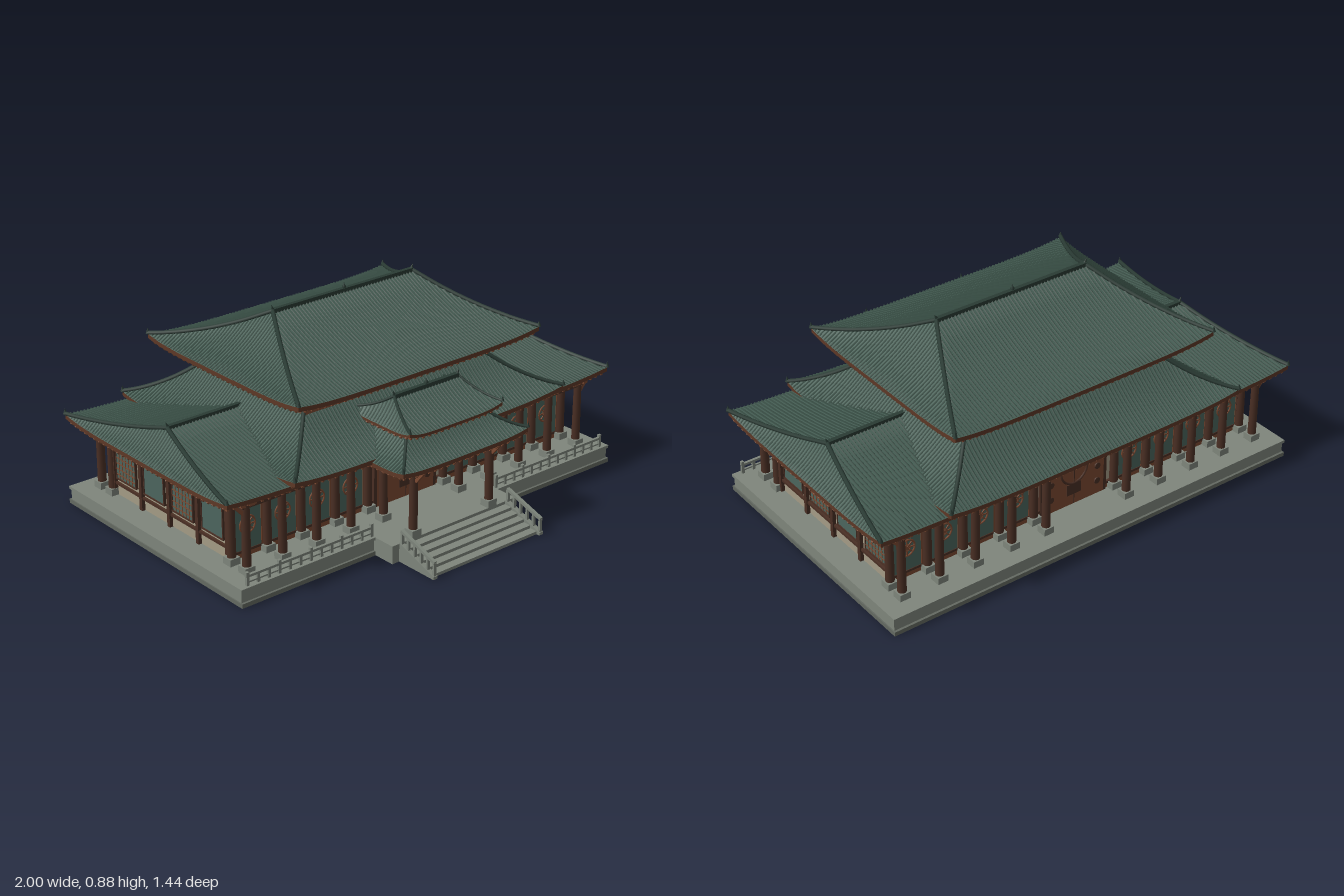
import * as THREE from 'three';
import { mergeGeometries } from 'three/addons/utils/BufferGeometryUtils.js';

const mat = (name, color, side = THREE.FrontSide) => {
  const m = new THREE.MeshStandardMaterial({ color, side });
  m.name = name;
  return m;
};

// Geometry helpers
const box = (w, h, d, x, y, z) => new THREE.BoxGeometry(w, h, d).translate(x, y, z);
const cyl = (r0, r1, h, x, y, z, n = 12) => new THREE.CylinderGeometry(r0, r1, h, n).translate(x, y, z);
const V = (x, y, z) => new THREE.Vector3(x, y, z);

function beam(p, q, w, h) {
  const o = new THREE.Object3D();
  o.position.copy(p).add(q).multiplyScalar(0.5);
  o.lookAt(q);
  o.updateMatrix();
  return new THREE.BoxGeometry(w, h, p.distanceTo(q)).applyMatrix4(o.matrix);
}

// Grid surface from f(i in 0..1, j in 0..1)
function surf(nI, nJ, f) {
  const pos = [], idx = [], n = nI + 1;
  for (let j = 0; j <= nJ; j++) for (let i = 0; i <= nI; i++) pos.push(...f(i / nI, j / nJ).toArray());
  for (let j = 0; j < nJ; j++) for (let i = 0; i < nI; i++) {
    const a = j * n + i;
    idx.push(a, a + 1, a + n + 1, a, a + n + 1, a + n);
  }
  const g = new THREE.BufferGeometry();
  g.setAttribute('position', new THREE.Float32BufferAttribute(pos, 3));
  g.setIndex(idx);
  g.computeVertexNormals();
  return g;
}

export function createModel() {
  const M = {
    stone: mat('stone', 0x7f867c), stoneDark: mat('dark stone', 0x646a62),
    tile: mat('roof tile', 0x465f55, THREE.DoubleSide), rib: mat('roof rib', 0x33483f, THREE.DoubleSide),
    ridge: mat('ridge tile', 0x2a3b34), wood: mat('dark wood', 0x4a2f24),
    red: mat('warm wood', 0x7c4a32), eave: mat('eave wood', 0x5e3826, THREE.DoubleSide),
    cream: mat('plaster', 0xa59c86), teal: mat('teal panel', 0x4c665e),
  };
  const model = new THREE.Group();
  model.name = 'hall';
  const add = (name, material, geos) => {
    const flat = geos.map(g => {
      const n = g.index ? g.toNonIndexed() : g;
      n.deleteAttribute('uv');
      return n;
    });
    const mesh = new THREE.Mesh(mergeGeometries(flat), material);
    mesh.name = name;
    model.add(mesh);
  };

  // Concave hipped roof with lifted corners, ribs, fascia, soffit and rafters
  function roof(name, { cz, ex, ez, tx, tz, y0, y1, lift, edge = 0.018, bar = 0.009 }) {
    const tiles = [], ribs = [], under = [], rafters = [], ridges = [];
    for (let k = 0; k < 4; k++) {
      const [a0, a1, b0, b1] = k % 2 ? [ez, tz, ex, tx] : [ex, tx, ez, tz];
      const half = s => a0 + (a1 - a0) * s;
      const c = Math.round(Math.cos(k * Math.PI / 2)), sn = Math.round(Math.sin(k * Math.PI / 2));
      const at = (u, s, off) => {
        const t = Math.min(1, Math.abs(u) / Math.max(half(s), 1e-4)), w = b0 + (b1 - b0) * s;
        const y = y0 + (y1 - y0) * (0.6 * s + 0.4 * s * s) + lift * t ** 5 * (1 - s) ** 2 + off;
        return V(u * c + w * sn, y, cz - u * sn + w * c);
      };
      tiles.push(surf(24, 8, (i, j) => at((2 * i - 1) * half(j), j, 0)));
      under.push(surf(24, 8, (i, j) => at((2 * i - 1) * half(j), j, -edge)));
      under.push(surf(24, 1, (i, j) => at((2 * i - 1) * a0, 0, -edge * (1 - j))));
      const reach = u => Math.min(1, (a0 - Math.abs(u)) / (a0 - a1));
      const n = Math.round(2 * a0 / 0.016);
      for (let i = 0; i < n; i++) {
        const u = -a0 + (i + 0.5) * 2 * a0 / n, top = reach(u);
        if (top < 0.04) continue;
        ribs.push(surf(2, 5, (p, q) => {
          const v = at(u, q * top, p === 0.5 ? 0.006 : 0.0005), d = (p - 0.5) * 0.008;
          return v.add(V(d * c, 0, -d * sn));
        }));
        if (i % 2 === 0) {
          const inner = Math.min(top, 0.1 / (b0 - b1));
          rafters.push(beam(at(u, 0.01, -edge - 0.005), at(u, inner, -edge - 0.005), 0.009, 0.01));
        }
      }
      // Hip ridge ending in a small upward tip
      const path = [0, 0.1, 0.25, 0.5, 0.75, 1].map(s => at(half(s), s, 0.005));
      ridges.push(new THREE.TubeGeometry(new THREE.CatmullRomCurve3(path), 14, bar, 6));
      ridges.push(new THREE.ConeGeometry(bar, 0.025, 6).translate(path[0].x, path[0].y + 0.01, path[0].z));
    }
    if (tz === 0) {
      ridges.push(box(2 * tx, 0.018, 0.018, 0, y1 + 0.004, cz));
      for (const s of [-1, 1]) ridges.push(new THREE.ConeGeometry(0.01, 0.035, 6).rotateZ(-s * 0.4).translate(s * tx, y1 + 0.014, cz));
    }
    add(name + ' tiles', M.tile, tiles);
    add(name + ' ribs', M.rib, ribs);
    add(name + ' soffit', M.eave, under);
    add(name + ' rafters', M.red, rafters);
    add(name + ' ridges', M.ridge, ridges);
  }
  roof('wing roof', { cz: -0.155, ex: 0.99, ez: 0.53, tx: 0.87, tz: 0, y0: 0.39, y1: 0.495, lift: 0.02 });
  roof('skirt roof', { cz: -0.152, ex: 0.7, ez: 0.557, tx: 0.47, tz: 0.325, y0: 0.397, y1: 0.555, lift: 0.022 });
  roof('upper roof', { cz: -0.147, ex: 0.62, ez: 0.48, tx: 0.36, tz: 0, y0: 0.655, y1: 0.845, lift: 0.02 });
  roof('porch lower roof', { cz: 0.345, ex: 0.325, ez: 0.237, tx: 0.2, tz: 0.11, y0: 0.387, y1: 0.475, lift: 0.015, bar: 0.007 });
  roof('porch upper roof', { cz: 0.345, ex: 0.24, ez: 0.178, tx: 0.165, tz: 0, y0: 0.5, y1: 0.592, lift: 0.018, edge: 0.012, bar: 0.006 });
  const finial = [[0, 0], [0.01, 0], [0.006, 0.008], [0.009, 0.015], [0.004, 0.024], [0, 0.036]].map(p => new THREE.Vector2(...p));
  add('finials', M.ridge, [[0.847, -0.147], [0.594, 0.345]].map(([y, z]) => new THREE.LatheGeometry(finial, 10).translate(0, y, z)));

  // Stone terrace, porch platform and steps
  add('terrace', M.stone, [box(1.93, 0.05, 1.13, 0, 0.043, -0.15), box(1.94, 0.012, 1.145, 0, 0.07, -0.15),
    box(0.65, 0.076, 0.3, 0, 0.038, 0.372)]);
  add('terrace footing', M.stoneDark, [box(1.94, 0.018, 1.15, 0, 0.009, -0.15)]);
  const steps = [], stairRails = [];
  for (let i = 0; i < 5; i++) steps.push(box(0.56, 0.0127 * (5 - i), 0.037, 0, 0.00635 * (5 - i), 0.54 + i * 0.036));
  add('steps', M.stone, steps);
  const string = new THREE.Shape([[0.52, 0], [0.718, 0], [0.718, 0.012], [0.52, 0.08]].map(p => new THREE.Vector2(...p)));
  for (const s of [-1, 1]) {
    const x = s * 0.28;
    stairRails.push(new THREE.ExtrudeGeometry(string, { depth: 0.02, bevelEnabled: false }).rotateY(-Math.PI / 2).translate(x + 0.01, 0, 0));
    stairRails.push(beam(V(x, 0.13, 0.525), V(x, 0.068, 0.715), 0.014, 0.012));
    for (let i = 0; i < 6; i++) stairRails.push(box(0.012, 0.055, 0.01, x, 0.1 - i * 0.0122, 0.528 + i * 0.0365));
  }
  add('stair rails', M.stone, stairRails);
  const rails = [];
  for (const s of [-1, 1]) {
    rails.push(box(0.6, 0.01, 0.012, s * 0.63, 0.115, 0.405), box(0.6, 0.006, 0.008, s * 0.63, 0.09, 0.405));
    for (let i = 0; i <= 12; i++) rails.push(box(0.012, i % 3 ? 0.04 : 0.056, 0.012, s * (0.33 + i * 0.05), i % 3 ? 0.095 : 0.103, 0.405));
  }
  add('terrace balustrade', M.stone, rails);

  // Columns on stone bases with bracket arms
  const columns = [], bases = [], arms = [];
  const column = (x, z, top = 0.388) => {
    columns.push(cyl(0.016, 0.018, top - 0.1, x, (top + 0.1) / 2, z));
    bases.push(box(0.046, 0.03, 0.046, x, 0.09, z));
    arms.push(box(0.09, 0.012, 0.022, x, top - 0.018, z), box(0.022, 0.012, 0.09, x, top - 0.012, z), box(0.05, 0.012, 0.028, x, top - 0.03, z));
  };
  const xs = [0.2, 0.365, 0.535, 0.7, 0.87];
  for (const s of [-1, 1]) {
    for (const x of xs) for (const z of [0.325, 0.232, -0.552, -0.63]) column(s * x, z);
    column(s * 0.2, 0.5, 0.385);
    arms.push(beam(V(s * 0.88, 0.32, 0.325), V(s * 0.93, 0.375, 0.325), 0.012, 0.014));
    arms.push(beam(V(s * 0.88, 0.32, -0.63), V(s * 0.93, 0.375, -0.63), 0.012, 0.014));
    arms.push(beam(V(s * 0.2, 0.31, 0.515), V(s * 0.2, 0.365, 0.56), 0.012, 0.014));
  }
  add('columns', M.wood, columns);
  add('column bases', M.stone, bases);
  add('column brackets', M.red, arms);

  // Lower hall walls and framing beams
  add('hall walls', M.cream, [box(1.72, 0.33, 0.75, 0, 0.24, -0.16)]);
  const frame = [box(1.78, 0.016, 0.02, 0, 0.352, 0.325), box(1.78, 0.016, 0.02, 0, 0.352, -0.63),
    box(0.42, 0.02, 0.02, 0, 0.355, 0.5)];
  const trim = [], panels = [], rings = [], lattice = [];
  for (const s of [-1, 1]) {
    const x = s * 0.864;
    frame.push(box(0.02, 0.02, 0.18, s * 0.2, 0.355, 0.41));
    for (const y of [0.352, 0.305, 0.13]) frame.push(box(0.014, 0.01, 0.75, x, y, -0.16));
    for (let i = 0; i < 5; i++) frame.push(box(0.022, 0.3, 0.018, x, 0.225, 0.208 - i * 0.187));
    for (const z of [0.27, -0.59]) frame.push(box(0.016, 0.016, 0.12, s * 0.87, 0.352, z));
    // Side windows, every second one latticed
    for (let i = 0; i < 4; i++) {
      const z = 0.113 - i * 0.19;
      panels.push(box(0.008, 0.135, 0.13, x, 0.222, z));
      for (const e of [-1, 1]) frame.push(box(0.016, 0.006, 0.14, x, 0.222 + e * 0.068, z), box(0.014, 0.135, 0.005, x, 0.222, z + e * 0.066));
      if (i % 2) for (let j = -2; j <= 2; j++) lattice.push(box(0.012, 0.13, 0.004, x, 0.222, z + j * 0.022), box(0.012, 0.004, 0.13, x, 0.222 + j * 0.024, z));
    }
  }
  // Front and back bays with round lattice ornaments
  for (const f of [1, -1]) {
    const z = -0.16 + f * 0.379;
    trim.push(box(1.72, 0.055, 0.006, 0, 0.345, z), box(1.72, 0.025, 0.006, 0, 0.09, z));
    frame.push(box(1.74, 0.012, 0.014, 0, 0.313, z), box(1.74, 0.012, 0.014, 0, 0.368, z), box(1.74, 0.01, 0.014, 0, 0.103, z));
    for (const s of [-1, 1]) for (let i = 0; i < 4; i++) {
      const x = s * (0.2825 + i * 0.168), zo = z + f * 0.005;
      panels.push(box(0.15, 0.205, 0.008, x, 0.206, z));
      for (const e of [-1, 1]) trim.push(box(0.012, 0.205, 0.012, x + e * 0.07, 0.206, z));
      rings.push(new THREE.TorusGeometry(0.036, 0.004, 6, 24).translate(x, 0.21, zo), new THREE.TorusGeometry(0.014, 0.003, 6, 16).translate(x, 0.21, zo));
      for (let k = 0; k < 4; k++) rings.push(box(0.07, 0.005, 0.005, 0, 0, 0).rotateZ(k * Math.PI / 4).translate(x, 0.21, zo));
      for (const e of [-1, 0, 1]) frame.push(box(0.026, 0.022, 0.01, x + e * 0.045, 0.34, z + f * 0.004));
    }
    // Double door with central ring and studs
    trim.push(box(0.3, 0.29, 0.012, 0, 0.222, z + f * 0.004));
    frame.push(box(0.004, 0.27, 0.004, 0, 0.215, z + f * 0.011), box(0.36, 0.012, 0.02, 0, 0.37, z));
    frame.push(new THREE.TorusGeometry(0.064, 0.005, 6, 32).translate(0, 0.24, z + f * 0.011), box(0.07, 0.05, 0.004, 0, 0.15, z + f * 0.011));
    for (const s of [-1, 1]) {
      frame.push(box(0.014, 0.29, 0.02, s * 0.157, 0.222, z));
      for (let j = 0; j < 3; j++) frame.push(cyl(0.014, 0.014, 0.008, 0, 0, 0, 10).rotateX(Math.PI / 2).translate(s * 0.115, 0.14 + j * 0.07, z + f * 0.012));
    }
  }

  // Upper storey
  const uz = -0.147;
  add('upper storey walls', M.wood, [box(0.9, 0.16, 0.62, 0, 0.6, uz), box(0.36, 0.06, 0.2, 0, 0.485, 0.345)]);
  trim.push(box(0.95, 0.014, 0.66, 0, 0.558, uz), box(0.93, 0.012, 0.65, 0, 0.645, uz));
  trim.push(box(0.39, 0.01, 0.23, 0, 0.478, 0.345), box(0.4, 0.012, 0.25, 0, 0.497, 0.345));
  for (const f of [-1, 1]) {
    for (let i = 0; i < 6; i++) {
      const x = -0.385 + i * 0.154, z = uz + f * 0.313;
      panels.push(box(0.1, 0.062, 0.008, x, 0.603, z));
      rings.push(new THREE.TorusGeometry(0.016, 0.004, 6, 16).translate(x, 0.603, z + f * 0.004));
    }
    for (let i = 0; i < 7; i++) trim.push(box(0.022, 0.09, 0.022, -0.455 + i * 0.1517, 0.603, uz + f * 0.312));
    for (let i = 0; i < 4; i++) {
      const z = 0.087 - i * 0.157;
      panels.push(box(0.008, 0.062, 0.106, f * 0.453, 0.606, z));
      if (i % 2) for (let j = -2; j <= 2; j++) lattice.push(box(0.012, 0.06, 0.004, f * 0.453, 0.606, z + j * 0.02));
    }
    // Eave bracket blocks around both storeys
    for (let i = 0; i < 13; i++) arms.length && trim.push(box(0.03, 0.018, 0.04, -0.432 + i * 0.072, 0.657, uz + f * 0.325));
    for (let i = 0; i < 9; i++) trim.push(box(0.04, 0.018, 0.03, f * 0.465, 0.657, uz - 0.288 + i * 0.072));
  }
  add('frame beams', M.wood, frame);
  add('trim and doors', M.red, trim);
  add('wall panels', M.teal, panels);
  add('round ornaments', M.red, rings);
  add('window lattice', M.red, lattice);

  // Hanging porch lanterns
  add('lanterns', M.wood, [-0.2, 0.2].flatMap(x => [cyl(0.013, 0.011, 0.036, x, 0.315, 0.447, 6), cyl(0.004, 0.016, 0.01, x, 0.337, 0.447, 6), cyl(0.002, 0.002, 0.03, x, 0.352, 0.447, 6)]));
  return model;
}
